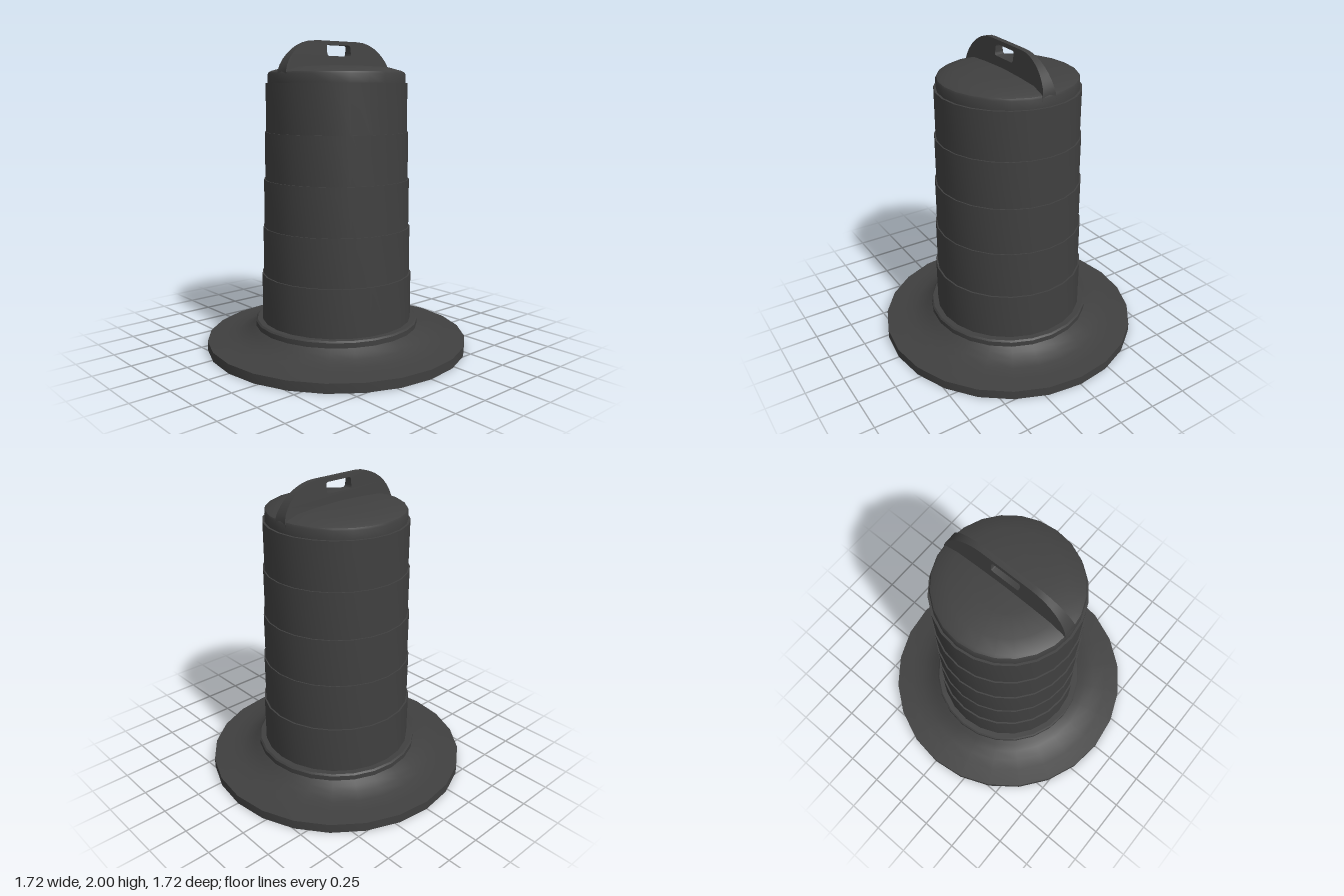
import * as THREE from 'three';
import { toCreasedNormals } from 'three/addons/utils/BufferGeometryUtils.js';

const SIDES = 24;

export function createModel() {
  const model = new THREE.Group();
  const material = new THREE.MeshStandardMaterial({ color: 0x404040 });

  const add = (name, geometry, crease = 0.5) => {
    const mesh = new THREE.Mesh(toCreasedNormals(geometry, crease), material);
    mesh.name = name;
    model.add(mesh);
  };
  const turned = (name, profile) =>
    add(name, new THREE.LatheGeometry(profile.map(([r, y]) => new THREE.Vector2(r, y)), SIDES));

  // Heavy flared base with a raised collar
  turned('base', [
    [0, 0], [0.86, 0], [0.86, 0.06], [0.75, 0.068], [0.67, 0.078], [0.61, 0.1],
    [0.57, 0.125], [0.54, 0.148], [0.54, 0.18], [0.53, 0.19], [0.48, 0.19],
  ]);

  // Stacked bands, each slightly narrower than the one below
  const heights = [0.18, 0.5, 0.81, 1.12, 1.425, 1.735];
  const radii = [0.494, 0.483, 0.475, 0.466, 0.457];
  radii.forEach((r, i) => turned('band' + (i + 1), [
    [r - 0.02, heights[i]], [r, heights[i]], [r, heights[i + 1]], [r - 0.02, heights[i + 1]],
  ]));

  // Shallow domed lid
  turned('lid', [
    [0.443, 1.73], [0.443, 1.79], [0.437, 1.803], [0.42, 1.812], [0.34, 1.834], [0.2, 1.843], [0, 1.85],
  ]);

  // Handle fin: rounded outline with a grip slot
  const outline = new THREE.Shape();
  outline.moveTo(-0.437, 1.77);
  outline.lineTo(0.437, 1.77);
  outline.lineTo(0.437, 1.81);
  outline.bezierCurveTo(0.415, 1.9, 0.31, 2, 0.17, 2);
  outline.lineTo(-0.17, 2);
  outline.bezierCurveTo(-0.31, 2, -0.415, 1.9, -0.437, 1.81);
  outline.closePath();

  const slot = new THREE.Path();
  const w = 0.1, low = 1.905, high = 1.975, c = 0.018;
  slot.moveTo(-w + c, low);
  slot.quadraticCurveTo(-w, low, -w, low + c);
  slot.lineTo(-w, high - c);
  slot.quadraticCurveTo(-w, high, -w + c, high);
  slot.lineTo(w - c, high);
  slot.quadraticCurveTo(w, high, w, high - c);
  slot.lineTo(w, low + c);
  slot.quadraticCurveTo(w, low, w - c, low);
  slot.closePath();
  outline.holes.push(slot);

  const fin = new THREE.ExtrudeGeometry(outline, { depth: 2, bevelEnabled: false, curveSegments: 8 });
  fin.translate(0, 0, -1).rotateY(Math.PI / 2);
  // Taper the fin's thickness towards the top
  const p = fin.attributes.position;
  for (let i = 0; i < p.count; i++) {
    p.setX(i, p.getX(i) * THREE.MathUtils.mapLinear(p.getY(i), 1.82, 2, 0.042, 0.018));
  }
  add('handle', fin);

  return model;
}
